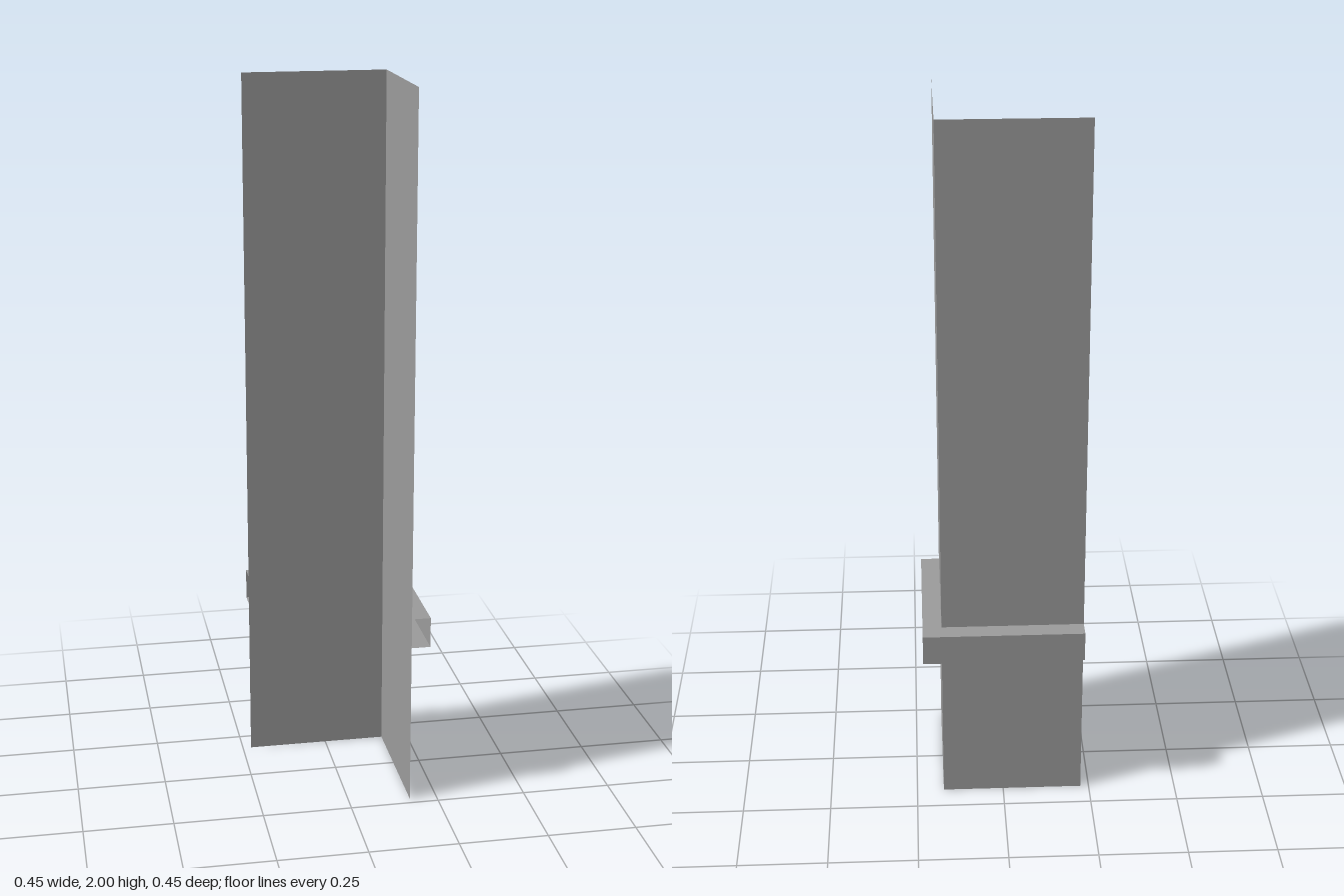
import * as THREE from 'three';

const END = 0.226;   // free ends of both wings
const FACE = 0.173;  // distance of the wing sheets from the centre

// Sweeps an open profile of [outward offset, height] round the mitred L-shaped plan.
function sweepCorner(name, profile, material) {
  const rings = profile.map(([o, y]) => [
    [-END, y, -FACE - o],
    [FACE + o, y, -FACE - o],
    [FACE + o, y, END],
  ]);
  const positions = [];
  for (let i = 0; i < rings.length - 1; i++) {
    for (let s = 0; s < 2; s++) {
      const a = rings[i][s], b = rings[i][s + 1];
      const c = rings[i + 1][s + 1], d = rings[i + 1][s];
      positions.push(...a, ...b, ...c, ...a, ...c, ...d);
    }
  }
  const geometry = new THREE.BufferGeometry();
  geometry.setAttribute('position', new THREE.Float32BufferAttribute(positions, 3));
  geometry.computeVertexNormals();
  const mesh = new THREE.Mesh(geometry, material);
  mesh.name = name;
  return mesh;
}

export function createModel() {
  const material = new THREE.MeshStandardMaterial({
    color: 0x9c9c9c, flatShading: true, side: THREE.DoubleSide,
  });
  const group = new THREE.Group();
  group.name = 'cornerPanel';

  // Two thin wings meeting at a right angle
  group.add(sweepCorner('cornerSheet', [[0, 2], [0, 0]], material));

  // Open-ended rail on the outside: top, outer face and underside
  const depth = END - FACE, top = 0.549, bottom = 0.463;
  group.add(sweepCorner('rail', [[0, top], [depth, top], [depth, bottom], [0, bottom]], material));

  return group;
}
